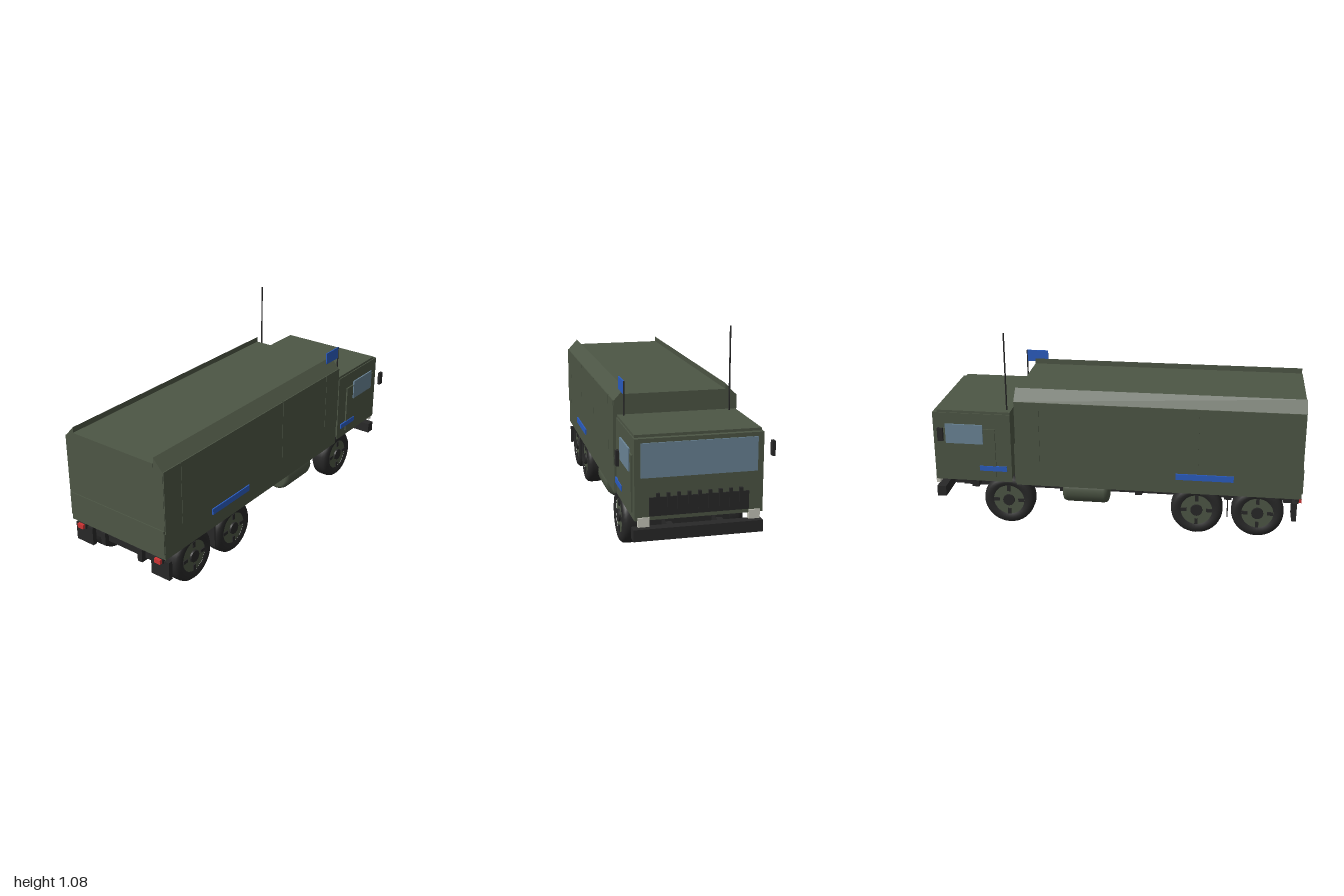
import * as THREE from 'three';

const mat = (name, color) => {
  const m = new THREE.MeshStandardMaterial({ color });
  m.name = name;
  return m;
};

export function createModel() {
  const truck = new THREE.Group();
  truck.name = 'truck';
  const green = mat('olive green', 0x4d5645);
  const black = mat('black', 0x282828);
  const blue = mat('blue', 0x2a5cc0);
  const red = mat('red', 0xcc3333);
  const glass = mat('glass', 0x6a8496);
  const lamp = mat('lamp', 0xc8c8bc);

  const add = (name, geo, m, parent = truck) => {
    const mesh = new THREE.Mesh(geo, m);
    mesh.name = name;
    parent.add(mesh);
    return mesh;
  };
  // Box given by its two extreme corners
  const box = (name, m, x0, x1, y0, y1, z0, z1, parent = truck) => {
    const b = add(name, new THREE.BoxGeometry(x1 - x0, y1 - y0, z1 - z0), m, parent);
    b.position.set((x0 + x1) / 2, (y0 + y1) / 2, (z0 + z1) / 2);
    return b;
  };
  // The same box on both sides of the truck
  const pair = (name, m, x0, x1, ...rest) => {
    box(name, m, x0, x1, ...rest);
    box(name, m, -x1, -x0, ...rest);
  };

  // Cargo body with raised, chamfered roof edges
  const half = [[0.315, 0.24], [0.315, 0.72], [0.26, 0.78], [0.26, 0.75]];
  const outline = [...half, ...half.slice().reverse().map(([x, y]) => [-x, y])];
  const shape = new THREE.Shape(outline.map(([x, y]) => new THREE.Vector2(x, y)));
  const body = add('cargoBody', new THREE.ExtrudeGeometry(shape, { depth: 1.53, bevelEnabled: false }), green);
  body.position.z = -0.535;
  box('tailPanel', green, -0.313, 0.313, 0.27, 0.402, 0.99, 1);
  box('roofLip', green, -0.26, 0.26, 0.724, 0.75, 0.99, 0.998);
  box('bodyFrontPanel', green, -0.31, 0.31, 0.25, 0.47, -0.543, -0.53);

  // Side panels separated by narrow gaps
  const seams = [-0.535, -0.4, 0.03, 0.45, 0.87, 0.995];
  for (let i = 0; i < seams.length - 1; i++) {
    pair('sidePanel', green, 0.313, 0.32, 0.385, 0.72, seams[i] + 0.001, seams[i + 1] - 0.002);
  }
  pair('bodyStripe', blue, 0.314, 0.322, 0.32, 0.353, 0.33, 0.637);

  // Cab
  box('cab', green, -0.31, 0.31, 0.25, 0.64, -0.985, -0.56);
  box('cabRoof', green, -0.305, 0.305, 0.64, 0.653, -0.96, -0.56);
  pair('door', green, 0.308, 0.318, 0.28, 0.555, -0.945, -0.645);
  pair('sideWindow', glass, 0.316, 0.324, 0.47, 0.58, -0.915, -0.71);
  pair('cabStripe', blue, 0.314, 0.322, 0.315, 0.343, -0.735, -0.585);
  box('windscreen', glass, -0.28, 0.28, 0.455, 0.62, -0.992, -0.983);
  box('grille', black, -0.24, 0.24, 0.27, 0.36, -0.992, -0.983);
  for (let i = 0; i < 9; i++) {
    const x = -0.2 + i * 0.05;
    box('grilleSlat', black, x - 0.008, x + 0.008, 0.29, 0.38, -0.998, -0.983);
  }
  pair('headlight', lamp, 0.24, 0.295, 0.22, 0.265, -0.992, -0.97);
  pair('mirror', black, 0.37, 0.385, 0.505, 0.578, -0.94, -0.91);

  // Chassis
  pair('frameRail', black, 0.11, 0.14, 0.145, 0.215, -0.885, 0.975);
  box('frontBumper', black, -0.315, 0.315, 0.148, 0.206, -0.985, -0.935);
  pair('bumperBracket', black, 0.11, 0.14, 0.15, 0.2, -0.94, -0.88);
  for (const z of [-0.8, -0.3, 0.12, 0.61, 0.93]) {
    box('crossMember', black, -0.2, 0.2, 0.16, 0.21, z - 0.02, z + 0.02);
  }
  pair('bodyMount', black, 0.11, 0.14, 0.21, 0.245, -0.5, 0.95);
  pair('mudFlap', black, 0.2, 0.315, 0.11, 0.212, 0.95, 0.975);
  pair('lampBracket', black, 0.235, 0.285, 0.2, 0.228, 0.965, 0.985);
  pair('tailLight', red, 0.242, 0.28, 0.202, 0.226, 0.98, 1);
  pair('midMudFlap', black, 0.21, 0.31, 0.11, 0.24, 0.607, 0.613);

  // Fuel tanks
  const tankProfile = [[0, -0.125], [0.06, -0.125], [0.074, -0.118], [0.08, -0.1],
    [0.08, 0.1], [0.074, 0.118], [0.06, 0.125], [0, 0.125]].map(p => new THREE.Vector2(...p));
  for (const s of [-1, 1]) {
    const tank = add('fuelTank', new THREE.LatheGeometry(tankProfile, 28), green);
    tank.rotation.x = Math.PI / 2;
    tank.position.set(s * 0.235, 0.21, -0.16);
  }

  // Wheels: tyre, rims on both faces, hub and four lugs
  const tyreProfile = [[0.085, -0.044], [0.105, -0.052], [0.125, -0.048], [0.137, -0.036], [0.14, -0.02],
    [0.14, 0.02], [0.137, 0.036], [0.125, 0.048], [0.105, 0.052], [0.085, 0.044]].map(p => new THREE.Vector2(...p));
  const tyreGeo = new THREE.LatheGeometry(tyreProfile, 36);
  const rimGeo = new THREE.CylinderGeometry(0.087, 0.087, 0.084, 32);
  const hubGeo = new THREE.CylinderGeometry(0.032, 0.034, 0.104, 20);
  for (const z of [-0.585, 0.445, 0.77]) {
    box('axle', black, -0.22, 0.22, 0.125, 0.16, z - 0.02, z + 0.02);
    for (const s of [-1, 1]) {
      const wheel = new THREE.Group();
      wheel.name = 'wheel';
      wheel.position.set(s * 0.258, 0.14, z);
      wheel.rotation.z = -s * Math.PI / 2;
      truck.add(wheel);
      add('tyre', tyreGeo, black, wheel);
      add('rim', rimGeo, green, wheel);
      add('hub', hubGeo, black, wheel);
      for (let i = 0; i < 4; i++) {
        const a = i * Math.PI / 2;
        const lug = add('wheelLug', new THREE.BoxGeometry(0.032, 0.096, 0.018), black, wheel);
        lug.position.set(Math.cos(a) * 0.068, 0, Math.sin(a) * 0.068);
        lug.rotation.y = -a;
      }
    }
  }

  // Radio antenna and flag
  const rod = (name, x, r, y0, y1) => {
    const p = add(name, new THREE.CylinderGeometry(r, r, y1 - y0, 10), black);
    p.position.set(x, (y0 + y1) / 2, -0.585);
  };
  rod('antenna', -0.265, 0.004, 0.65, 1.08);
  rod('flagPole', 0.275, 0.004, 0.65, 0.825);
  box('flag', blue, 0.272, 0.278, 0.76, 0.826, -0.585, -0.462);

  return truck;
}
